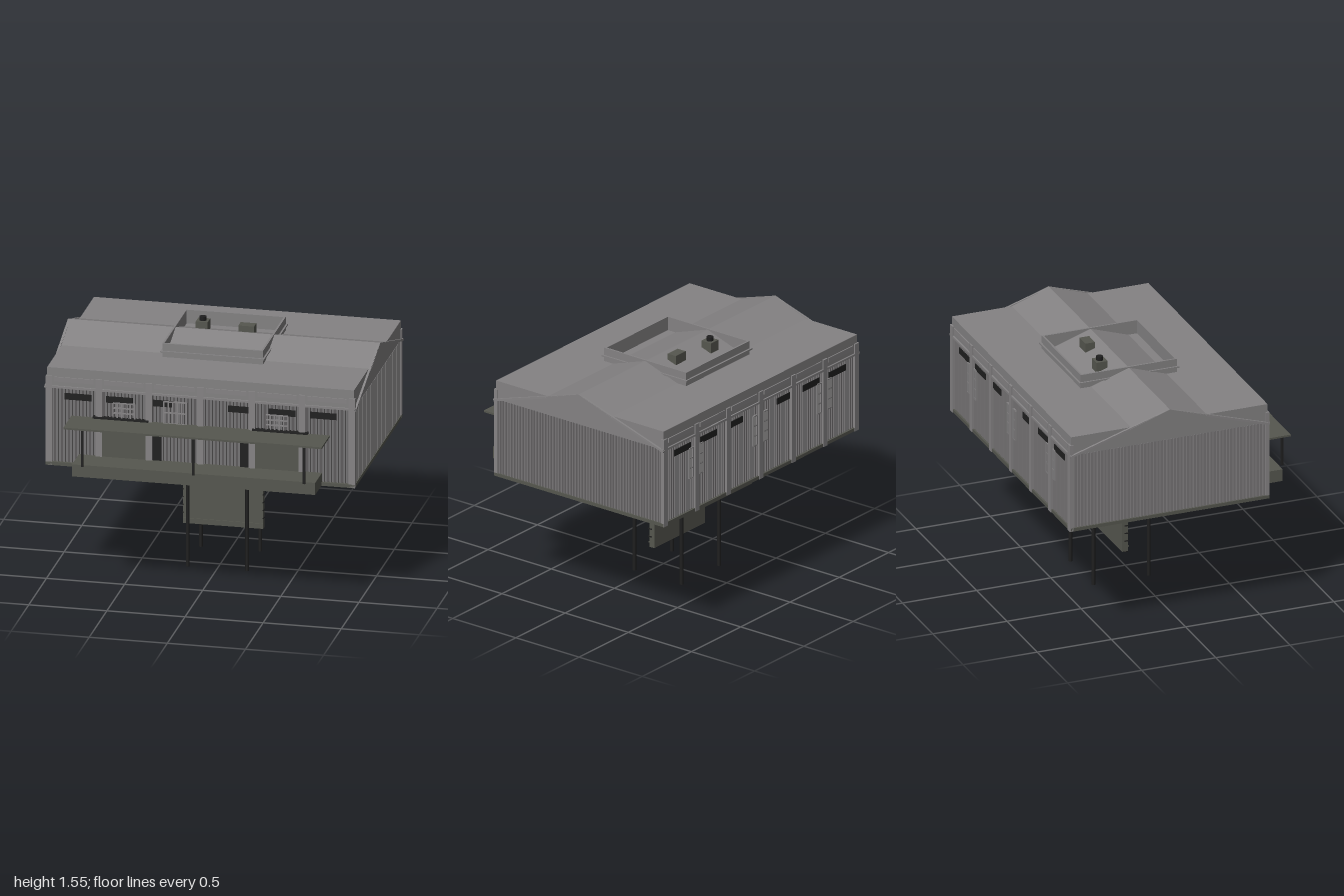
import * as THREE from 'three';

const mat = (name, color) => Object.assign(new THREE.MeshStandardMaterial({ color }), { name });

export function createModel() {
  const roofGrey = mat('roof grey', 0x848283);
  const wallGrey = mat('wall grey', 0x777576);
  const trimGrey = mat('trim grey', 0x868485);
  const olive = mat('dark olive', 0x56574f);
  const black = mat('near black', 0x1f1f1f);

  const model = new THREE.Group();
  model.name = 'raisedCabin';

  const add = (name, geo, material) => {
    const m = new THREE.Mesh(geo, material);
    m.name = name;
    model.add(m);
    return m;
  };
  // Box given by its minimum and maximum on each axis
  const box = (name, material, x0, x1, y0, y1, z0, z1) => {
    const m = add(name, new THREE.BoxGeometry(x1 - x0, y1 - y0, z1 - z0), material);
    m.position.set((x0 + x1) / 2, (y0 + y1) / 2, (z0 + z1) / 2);
    return m;
  };
  // Square bar between two points
  const bar = (name, material, a, b, w) => {
    const p = new THREE.Vector3(...a), q = new THREE.Vector3(...b);
    const m = add(name, new THREE.BoxGeometry(w, w, p.distanceTo(q)), material);
    m.position.copy(p).lerp(q, 0.5);
    m.lookAt(q);
    return m;
  };

  // Corrugated wall body: ribbed footprint extruded upward
  const X = 0.975, ZF = 0.545, ZB = -0.75, rib = 0.01, pitch = 0.0225;
  const corners = [[-X, -ZF], [X, -ZF], [X, -ZB], [-X, -ZB]];
  const outline = [];
  corners.forEach((a, i) => {
    const b = corners[(i + 1) % 4];
    const len = Math.hypot(b[0] - a[0], b[1] - a[1]);
    const d = [(b[0] - a[0]) / len, (b[1] - a[1]) / len];
    const n = Math.round(len / pitch), step = len / n;
    outline.push(new THREE.Vector2(...a));
    for (let k = 0; k < n; k++) {
      for (const [t, o] of [[0.2, 0], [0.35, rib], [0.75, rib], [0.9, 0]]) {
        const s = (k + t) * step;
        outline.push(new THREE.Vector2(a[0] + d[0] * s + d[1] * o, a[1] + d[1] * s - d[0] * o));
      }
    }
  });
  const walls = new THREE.ExtrudeGeometry(new THREE.Shape(outline), { depth: 0.5, bevelEnabled: false });
  walls.rotateX(-Math.PI / 2);
  add('corrugatedWalls', walls, wallGrey).position.y = 0.8;

  // Floor, flat roof and the raised ridge
  box('floorSlab', olive, -0.99, 0.99, 0.78, 0.802, -0.77, 0.57);
  box('flatRoof', roofGrey, -0.982, 0.982, 1.3, 1.425, -0.765, 0.56);
  const ridge = new THREE.Shape([[-0.165, 1.42], [0.105, 1.51], [0.375, 1.42]].reverse()
    .map(([u, v]) => new THREE.Vector2(u, v)));
  const ridgeGeo = new THREE.ExtrudeGeometry(ridge, { depth: 2, bevelEnabled: false });
  ridgeGeo.rotateY(Math.PI / 2);
  add('roofRidge', ridgeGeo, roofGrey).position.x = -1;
  for (const x of [-0.991, 0.991]) {
    bar('gableTrim', trimGrey, [x, 1.293, 0.57], [x, 1.502, -0.105], 0.014);
    bar('gableTrim', trimGrey, [x, 1.293, -0.775], [x, 1.502, -0.105], 0.014);
  }

  // Columns, cornice, fascia panels and strip windows on front and back
  const columns = [-0.97, -0.65, -0.33, 0, 0.33, 0.65, 0.97];
  for (const side of [1, -1]) {
    const face = side > 0 ? ZF : ZB;
    const plate = (name, m, x0, x1, y0, y1, d0, d1) => {
      const a = face + side * d0, b = face + side * d1;
      box(name, m, x0, x1, y0, y1, Math.min(a, b), Math.max(a, b));
    };
    columns.forEach((x, i) => {
      plate('column', trimGrey, x - 0.02, x + 0.02, 0.78, 1.37, 0, 0.025);
      if (i < 6) {
        plate('fasciaPanel', trimGrey, x + 0.035, columns[i + 1] - 0.035, 1.335, 1.365, 0, 0.022);
      }
    });
    plate('cornice', trimGrey, -0.995, 0.995, 1.292, 1.306, 0, 0.025);
    for (const s of [-1, 1]) {
      for (const [c, w] of [[0.785, 0.17], [0.52, 0.17], [0.24, 0.13]]) {
        plate('stripWindow', black, s * c - w / 2, s * c + w / 2, 1.218, 1.26, 0.008, 0.0135);
      }
    }
    // Barred grille: uprights and cross bars
    const grille = (x0, x1, y0, y1, n) => {
      for (let i = 0; i <= n; i++) {
        const x = x0 + (x1 - x0) * i / n;
        plate('grilleBar', trimGrey, x - 0.004, x + 0.004, y0, y1, 0.01, 0.02);
      }
      for (let j = 0; j <= 3; j++) {
        const y = y0 + (y1 - y0) * j / 3;
        plate('grilleRail', trimGrey, x0, x1, y - 0.004, y + 0.004, 0.01, 0.019);
      }
    };
    if (side > 0) {
      grille(-0.235, -0.09, 1.035, 1.255, 5);
      for (const s of [-1, 1]) {
        grille(s * 0.49 - 0.07, s * 0.49 + 0.07, 1.12, 1.22, 5);
        // Wide shutters with a dark hood, and narrow doors
        const c = s * 0.51;
        plate('shutter', olive, c - 0.16, c + 0.16, 0.86, 1.11, 0, 0.018);
        plate('shutterHandle', trimGrey, c - 0.085, c + 0.085, 1.032, 1.037, 0.016, 0.022);
        plate('shutterHood', black, c - 0.178, c + 0.178, 1.11, 1.124, 0, 0.033);
        plate('door', black, s * 0.28 - 0.028, s * 0.28 + 0.028, 0.86, 1.075, 0.008, 0.015);
      }
    } else {
      for (const x of [-0.65, 0, 0.65]) {
        for (const s of [-1, 1]) grille(x + s * 0.052 - 0.018, x + s * 0.052 + 0.018, 1.02, 1.22, 2);
      }
    }
  }

  // Front deck, canopy and posts
  box('deck', olive, -0.78, 0.775, 0.78, 0.86, 0.55, 0.745);
  box('deckHatch', olive, -0.05, 0.05, 0.772, 0.782, 0.55, 0.615);
  box('canopy', olive, -0.828, 0.825, 1.1, 1.112, 0.55, 0.78);
  for (const x of [-0.71, 0, 0.71]) box('canopyPost', black, x - 0.007, x + 0.007, 0.858, 1.1, 0.763, 0.777);

  // Roof curb: four walls with a flange around them
  const frame = (name, x, z0, z1, y0, y1, t) => {
    for (const s of [-1, 1]) box(name, roofGrey, s > 0 ? x - t : -x, s > 0 ? x : t - x, y0, y1, z0, z1);
    box(name, roofGrey, -x + t, x - t, y0, y1, z1 - t, z1);
    box(name, roofGrey, -x + t, x - t, y0, y1, z0, z0 + t);
  };
  frame('roofCurb', 0.322, -0.43, 0.22, 1.42, 1.515, 0.012);
  frame('curbFlange', 0.333, -0.442, 0.232, 1.456, 1.466, 0.02);

  // Vent and flue
  box('roofVent', olive, 0.077, 0.177, 1.45, 1.528, -0.235, -0.17);
  box('flueBase', olive, -0.203, -0.127, 1.44, 1.522, -0.275, -0.2);
  add('flue', new THREE.CylinderGeometry(0.022, 0.022, 0.045, 16), black).position.set(-0.165, 1.525, -0.238);

  // Underside plate, hanging panel and tank
  box('undersidePlate', olive, -0.328, 0.325, 0.75, 0.782, -0.433, 0.226);
  box('hangingPanel', olive, -0.258, 0.255, 0.222, 0.76, -0.125, -0.085);
  box('tank', olive, -0.255, 0.255, 0.588, 0.77, -0.5, -0.15);
  box('tankLid', olive, -0.255, 0.255, 0.758, 0.78, -0.51, -0.43);
  for (const y of [0.25, 0.62, 0.67, 0.72]) box('panelRib', olive, -0.258, 0.255, y, y + 0.008, -0.088, -0.079);
  for (let i = 0; i < 9; i++) {
    const y = 0.29 + i * 0.052;
    for (const x of [-0.259, 0.256]) box('rung', black, x - 0.003, x + 0.003, y, y + 0.007, -0.108, -0.08);
  }

  // Legs, front cross brace and brackets
  for (const x of [-0.19, 0.19]) {
    for (const z of [0.083, -0.29]) {
      const leg = add('leg', new THREE.CylinderGeometry(0.012, 0.012, 0.76, 12), black);
      leg.position.set(x, 0.38, z);
    }
    bar('crossBrace', black, [x, 0.58, 0.083], [-x, 0.73, 0.083], 0.009);
    const s = Math.sign(x);
    box('bracket', black, s * 0.17 - 0.012, s * 0.17 + 0.012, 0.665, 0.755, -0.08, -0.07);
  }
  return model;
}
